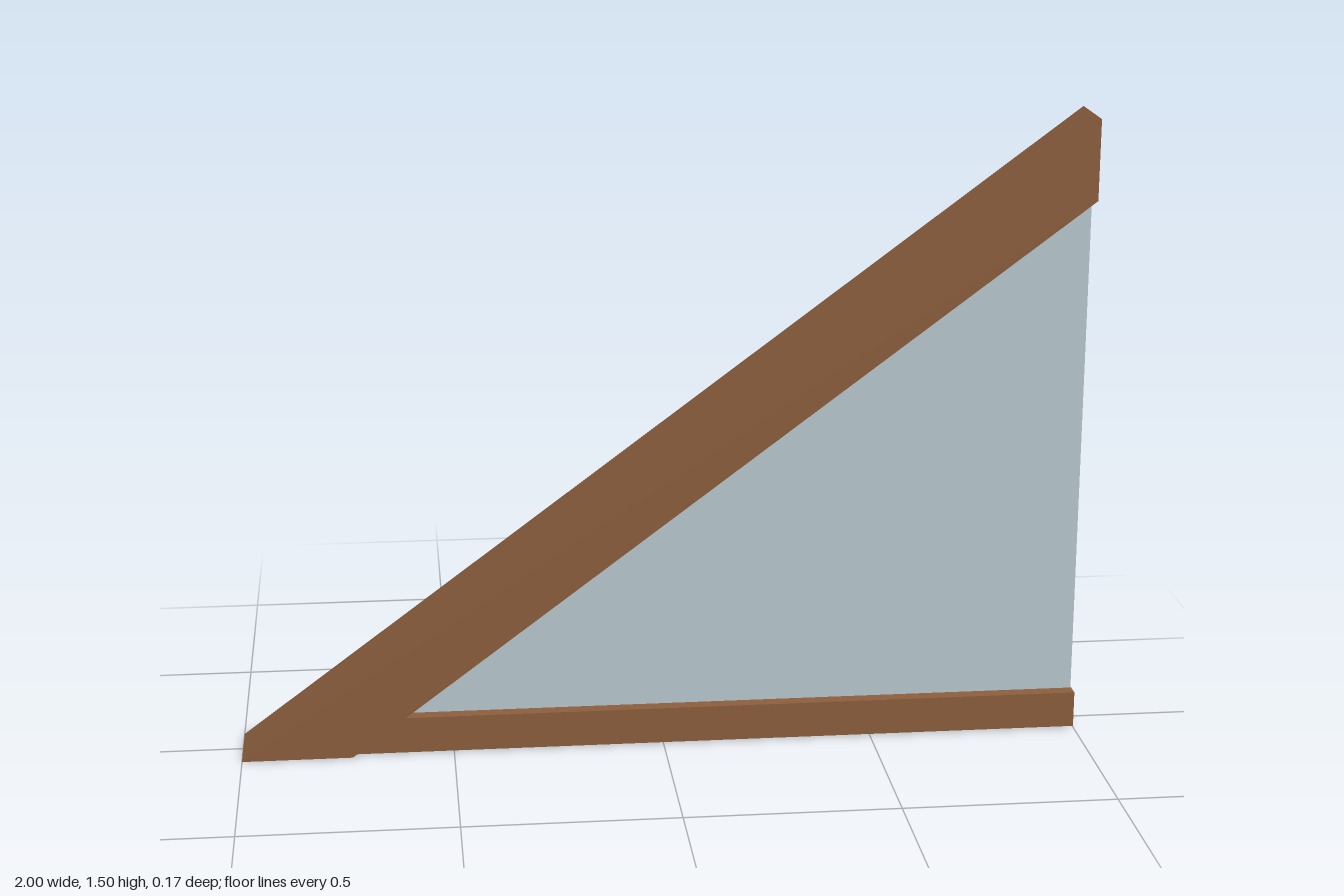
import * as THREE from 'three';

// Extrude an x/y outline symmetrically about a given z
function slab(name, points, depth, z, material) {
  const shape = new THREE.Shape(points.map(([x, y]) => new THREE.Vector2(x, y)));
  const geometry = new THREE.ExtrudeGeometry(shape, { depth, bevelEnabled: false });
  geometry.translate(0, 0, z - depth / 2);
  const mesh = new THREE.Mesh(geometry, material);
  mesh.name = name;
  return mesh;
}

export function createModel() {
  const wood = new THREE.MeshStandardMaterial({ color: 0x8b5e3c });
  wood.name = 'brown wood';
  const pane = new THREE.MeshStandardMaterial({ color: 0xb8c8cf });
  pane.name = 'pale blue grey panel';

  const group = new THREE.Group();
  group.name = 'triangularGableFrame';

  // Sloping rafter with a level foot and a plumb-cut top
  group.add(slab('rafter', [[-1, 0.002], [-0.74, 0.002], [1, 1.305], [1, 1.495]], 0.172, 0, wood));

  // Narrower sill beam, its end tucked into the rafter
  group.add(slab('sillBeam', [[-0.8, 0.003], [1, 0.003], [1, 0.09], [-0.7, 0.09]], 0.144, -0.003, wood));

  // Infill panel, running through the sill to its underside
  group.add(slab('infillPanel', [[-0.82, 0], [0.998, 0], [0.998, 1.36]], 0.078, -0.003, pane));

  return group;
}
